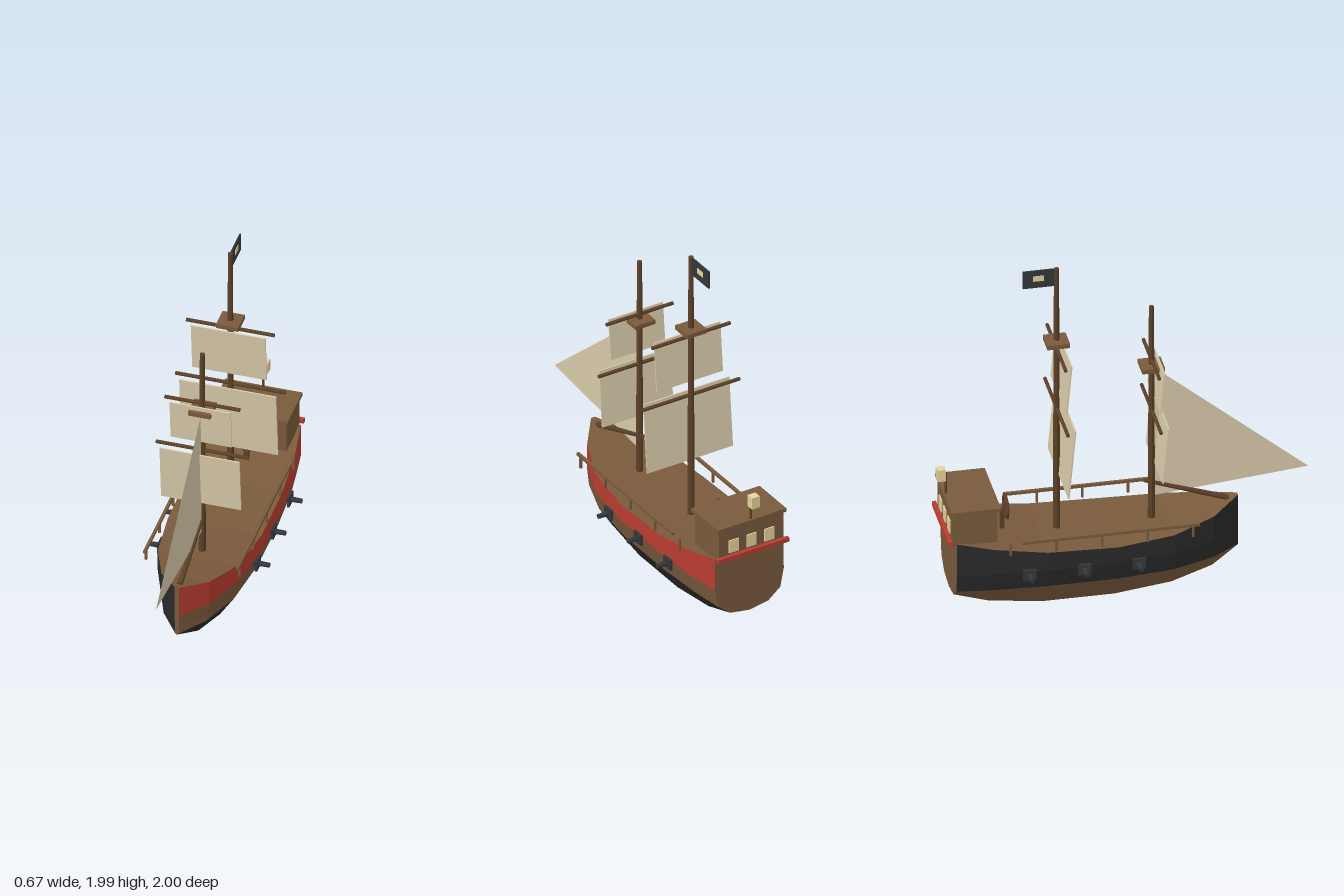
import * as THREE from 'three';

const mat = (name, color, opts = {}) => {
  const m = new THREE.MeshStandardMaterial({ color, ...opts });
  m.name = name;
  return m;
};

export function createModel() {
  const ship = new THREE.Group();
  ship.name = 'sailingShip';
  const wood = mat('wood', 0x7a5a3c, { flatShading: true });
  const spar = mat('darkWood', 0x5c4028, { flatShading: true });
  const red = mat('redPaint', 0xb83c30, { flatShading: true });
  const black = mat('blackPaint', 0x2a2a2a, { flatShading: true });
  const iron = mat('iron', 0x34373a, { flatShading: true });
  const canvas = mat('canvas', 0xd9cbaa, { flatShading: true, side: THREE.DoubleSide });
  const lamp = mat('lampGlow', 0xe6d49c, { flatShading: true });

  const add = (name, geo, material, x = 0, y = 0, z = 0) => {
    const m = new THREE.Mesh(geo, material);
    m.name = name;
    m.position.set(x, y, z);
    ship.add(m);
    return m;
  };
  const box = (name, material, w, h, d, x, y, z) =>
    add(name, new THREE.BoxGeometry(w, h, d), material, x, y, z);
  const rod = (name, material, a, b, r0, r1 = r0, sides = 8) => {
    const p = new THREE.Vector3(...a), q = new THREE.Vector3(...b);
    const dir = q.clone().sub(p);
    const m = add(name, new THREE.CylinderGeometry(r1, r0, dir.length(), sides), material);
    m.position.copy(p).add(q).multiplyScalar(0.5);
    m.quaternion.setFromUnitVectors(new THREE.Vector3(0, 1, 0), dir.normalize());
    return m;
  };

  // Hull stations from bow to stern: z, half width, sheer height, keel height
  const stations = [
    [0.62, 0.012, 0.5, 0.19], [0.47, 0.13, 0.455, 0.1], [0.24, 0.22, 0.42, 0.04],
    [-0.07, 0.258, 0.405, 0.008], [-0.45, 0.258, 0.418, 0.008],
    [-0.74, 0.24, 0.46, 0.05], [-0.93, 0.212, 0.5, 0.12],
  ];
  const rings = stations.map(([z, w, sheer, keel]) => {
    const half = [[w, sheer], [w * 1.01, 0.31], [w * 0.91, 0.2], [w * 0.56, keel + (0.2 - keel) * 0.25]];
    return [...half.map(([x, y]) => [-x, y, z]), [0, keel, z], ...half.reverse().map(([x, y]) => [x, y, z])];
  });
  // Planking runs from the right-hand rim round the keel to the left-hand rim, then the deck
  const hullMats = [black, wood, red];
  const strakes = [0, 0, 1, 2, 0, 0, 1, 2, 1];
  const pos = [];
  const hullGeo = new THREE.BufferGeometry();
  strakes.forEach((colour, j) => {
    const k = (j + 1) % 9, start = pos.length / 3;
    for (let i = 0; i < rings.length - 1; i++) {
      const a = rings[i][j], b = rings[i][k], c = rings[i + 1][j], d = rings[i + 1][k];
      pos.push(...a, ...c, ...b, ...b, ...c, ...d);
    }
    hullGeo.addGroup(start, pos.length / 3 - start, colour);
  });
  // Stem and transom caps
  const capStart = pos.length / 3, bow = rings[0], stern = rings[rings.length - 1];
  for (let j = 1; j < 8; j++) {
    pos.push(...bow[0], ...bow[j], ...bow[j + 1]);
    pos.push(...stern[0], ...stern[j + 1], ...stern[j]);
  }
  hullGeo.addGroup(capStart, pos.length / 3 - capStart, 1);
  hullGeo.setAttribute('position', new THREE.Float32BufferAttribute(pos, 3));
  hullGeo.computeVertexNormals();
  add('hull', hullGeo, hullMats);

  // Stern cabin with roof, red rail, windows and lantern
  box('cabin', wood, 0.4, 0.195, 0.24, 0, 0.582, -0.829);
  box('cabinRoof', wood, 0.425, 0.02, 0.267, 0, 0.683, -0.827);
  box('sternRail', red, 0.44, 0.025, 0.022, 0, 0.506, -0.965);
  for (const x of [-0.11, 0, 0.11]) box('sternWindow', lamp, 0.06, 0.075, 0.008, x, 0.565, -0.952);
  rod('lanternPost', spar, [0, 0.68, -0.946], [0, 0.82, -0.946], 0.007);
  box('lantern', lamp, 0.048, 0.068, 0.046, 0, 0.814, -0.973);

  // Steering wheel
  box('wheelStand', spar, 0.025, 0.14, 0.02, 0, 0.495, -0.645);
  add('wheel', new THREE.TorusGeometry(0.066, 0.007, 5, 8), spar, 0, 0.575, -0.625);
  for (let i = 0; i < 4; i++) {
    const a = i * Math.PI / 4, c = Math.cos(a) * 0.074, s = Math.sin(a) * 0.074;
    rod('wheelSpoke', spar, [-c, 0.575 - s, -0.625], [c, 0.575 + s, -0.625], 0.004, 0.004, 5);
  }

  // Masts with lookout platforms, yards and square sails
  // Each sail: yard height, yard half length, sail half width, sail bottom, sail centre offset
  const masts = [
    { name: 'main', z: -0.352, top: 2.0, nest: 1.552,
      sails: [[1.148, 0.302, 0.266, 0.74, 0.03], [1.512, 0.243, 0.205, 1.222, 0.027]] },
    { name: 'fore', z: 0.158, top: 1.705, nest: 1.342,
      sails: [[1.075, 0.255, 0.22, 0.74, 0.034], [1.38, 0.207, 0.168, 1.14, 0.028]] },
  ];
  for (const { name, z, top, nest, sails } of masts) {
    rod(name + 'Mast', spar, [0, 0.4, z], [0, top, z], 0.02, 0.014);
    box(name + 'Lookout', wood, 0.122, 0.025, 0.122, 0, nest, z);
    for (const [y, len, w, bottom, dz] of sails) {
      rod(name + 'Yard', spar, [-len, y, z], [len, y, z], 0.01);
      box(name + 'Sail', canvas, w * 2, y - bottom, 0.008, 0, (y + bottom) / 2, z + dz).rotation.x = 0.09;
    }
  }

  // Triangular headsail and bowsprit
  const jib = new THREE.BufferGeometry();
  jib.setAttribute('position', new THREE.Float32BufferAttribute(
    [0, 0.625, 1, 0, 0.545, 0.168, 0, 1.318, 0.185], 3));
  jib.computeVertexNormals();
  add('headsail', jib, canvas);
  rod('bowsprit', spar, [0, 0.483, 0.57], [0, 0.643, 0.12], 0.016, 0.011);

  for (const s of [-1, 1]) {
    // Side rails and posts
    box('sideRail', wood, 0.015, 0.016, 0.95, s * 0.255, 0.493, -0.11);
    for (let i = 0; i < 5; i++) {
      box('railPost', wood, 0.012, 0.075, 0.012, s * 0.257, 0.46, 0.33 - i * 0.245);
    }
    // Cannons with their port plates
    for (const z of [0.037, -0.256, -0.55]) {
      box('gunPort', iron, 0.014, 0.062, 0.07, s * 0.268, 0.3, z);
      rod('cannon', iron, [s * 0.24, 0.3, z], [s * 0.334, 0.3, z], 0.016, 0.013);
    }
  }

  // Flag with a plain pale patch on both faces
  box('flag', iron, 0.008, 0.104, 0.172, 0, 1.948, -0.447);
  box('flagPatch', lamp, 0.012, 0.032, 0.058, 0, 1.952, -0.45);

  return ship;
}
